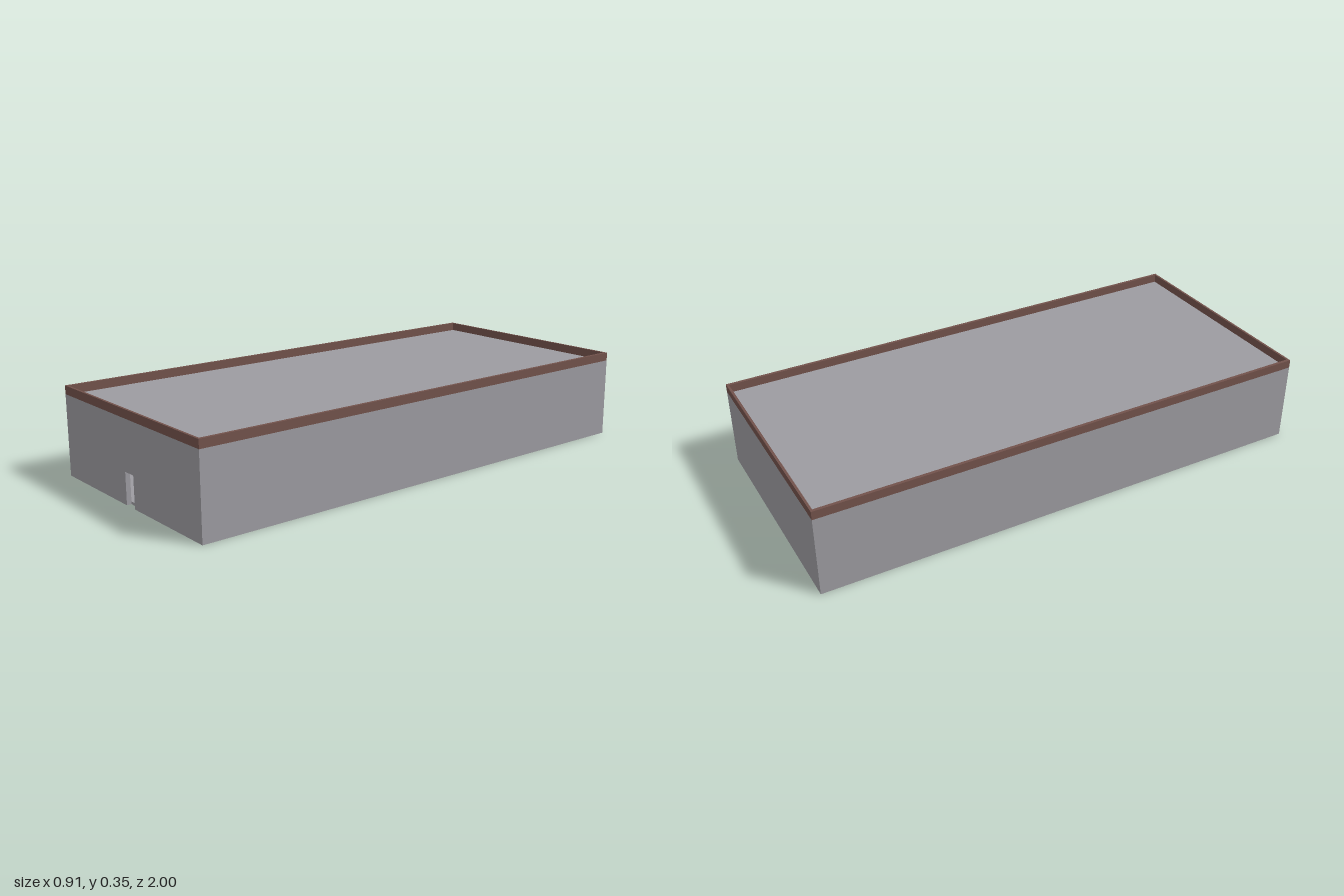
import * as THREE from 'three';

const W = 0.912, L = 2, WALL_H = 0.315, TOP = 0.348;
const WALL = 0.018; // wall thickness
const DOOR_W = 0.056, DOOR_H = 0.122;

export function createModel() {
  const concrete = new THREE.MeshStandardMaterial({ color: 0x9c9ba0 });
  concrete.name = 'concrete grey';
  const trim = new THREE.MeshStandardMaterial({ color: 0x72524b });
  trim.name = 'brown trim';

  const building = new THREE.Group();
  building.name = 'building';

  const add = (name, geometry, material, x, y, z) => {
    const mesh = new THREE.Mesh(geometry, material);
    mesh.name = name;
    mesh.position.set(x, y, z);
    building.add(mesh);
  };
  const box = (name, material, w, h, d, x, y, z) =>
    add(name, new THREE.BoxGeometry(w, h, d), material, x, y + h / 2, z);

  // Front wall, with the doorway cut through down to the ground
  const hw = W / 2, hd = DOOR_W / 2;
  const outline = [
    [-hw, 0], [-hd, 0], [-hd, DOOR_H], [hd, DOOR_H],
    [hd, 0], [hw, 0], [hw, WALL_H], [-hw, WALL_H],
  ].map(([x, y]) => new THREE.Vector2(x, y));
  add('frontWall', new THREE.ExtrudeGeometry(new THREE.Shape(outline),
    { depth: WALL, bevelEnabled: false }), concrete, 0, 0, L / 2 - WALL);

  // Back and side walls
  box('backWall', concrete, W, WALL_H, WALL, 0, 0, -L / 2 + WALL / 2);
  for (const [side, s] of [['left', 1], ['right', -1]]) {
    box(side + 'Wall', concrete, WALL, WALL_H, L - 2 * WALL, s * (hw - WALL / 2), 0, 0);
  }

  // Floor and flat roof slabs between the walls
  box('floor', concrete, W - 2 * WALL, 0.01, L - 2 * WALL, 0, 0, 0);
  box('roof', concrete, W - 2 * WALL, 0.01, L - 2 * WALL, 0, WALL_H - 0.01, 0);

  // Parapet running round the roof edge
  const px = 0.012, pz = 0.009, ph = TOP - WALL_H;
  for (const [side, s] of [['left', 1], ['right', -1]]) {
    box(side + 'Parapet', trim, px, ph, L, s * (hw - px / 2), WALL_H, 0);
  }
  for (const [side, s] of [['front', 1], ['back', -1]]) {
    box(side + 'Parapet', trim, W - 2 * px, ph, pz, 0, WALL_H, s * (L / 2 - pz / 2));
  }

  return building;
}
